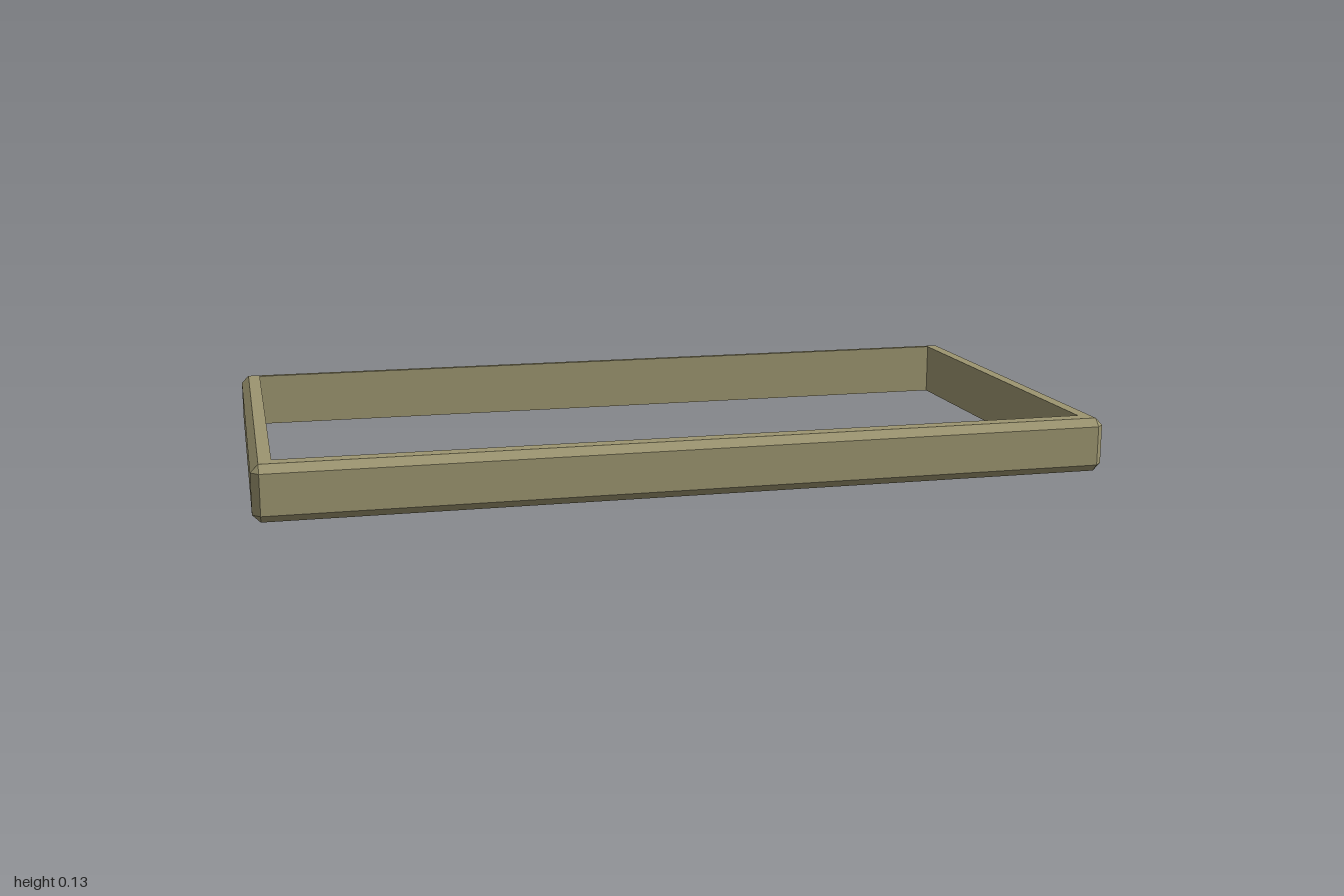
import * as THREE from 'three';

const HX = 1, HZ = 0.518, H = 0.13, C = 0.018; // half sizes, height, chamfer

// Eight points around the frame, two per corner; d is how far each point
// of the pair reaches out from the chamfer's inner corner.
function outerRing(y, d) {
  const ring = [];
  [[1, 1], [1, -1], [-1, -1], [-1, 1]].forEach(([sx, sz], i) => {
    const x = HX - C, z = HZ - C;
    const pair = [
      new THREE.Vector3(sx * x, y, sz * (z + d)),
      new THREE.Vector3(sx * (x + d), y, sz * z),
    ];
    if (i % 2) pair.reverse();
    ring.push(...pair);
  });
  return ring;
}

// Rectangular opening, slightly nearer the back, with doubled corners
function innerRing(y) {
  const x = 0.953, front = 0.464, back = -0.486;
  return [[x, front], [x, back], [-x, back], [-x, front]].flatMap(([px, pz]) => [
    new THREE.Vector3(px, y, pz), new THREE.Vector3(px, y, pz),
  ]);
}

// Join a closed series of rings, leaving out empty triangles
function loft(rings) {
  const pos = [];
  const tri = (a, b, c) => {
    if (new THREE.Triangle(a, b, c).getArea() < 1e-7) return;
    for (const p of [a, b, c]) pos.push(p.x, p.y, p.z);
  };
  rings.forEach((lo, j) => {
    const hi = rings[(j + 1) % rings.length];
    lo.forEach((a, i) => {
      const n = (i + 1) % lo.length;
      tri(a, lo[n], hi[n]);
      tri(a, hi[n], hi[i]);
    });
  });
  const geo = new THREE.BufferGeometry();
  geo.setAttribute('position', new THREE.Float32BufferAttribute(pos, 3));
  geo.computeVertexNormals();
  return geo;
}

export function createModel() {
  const group = new THREE.Group();
  group.name = 'rectangularFrame';
  // Chamfered outside, flat rims, straight inside walls
  const frame = new THREE.Mesh(
    loft([
      outerRing(0, 0), outerRing(C, C), outerRing(H - C, C), outerRing(H, 0),
      innerRing(H), innerRing(0),
    ]),
    new THREE.MeshStandardMaterial({ color: 0x9c9570, flatShading: true }),
  );
  frame.name = 'frame';
  group.add(frame);
  return group;
}
